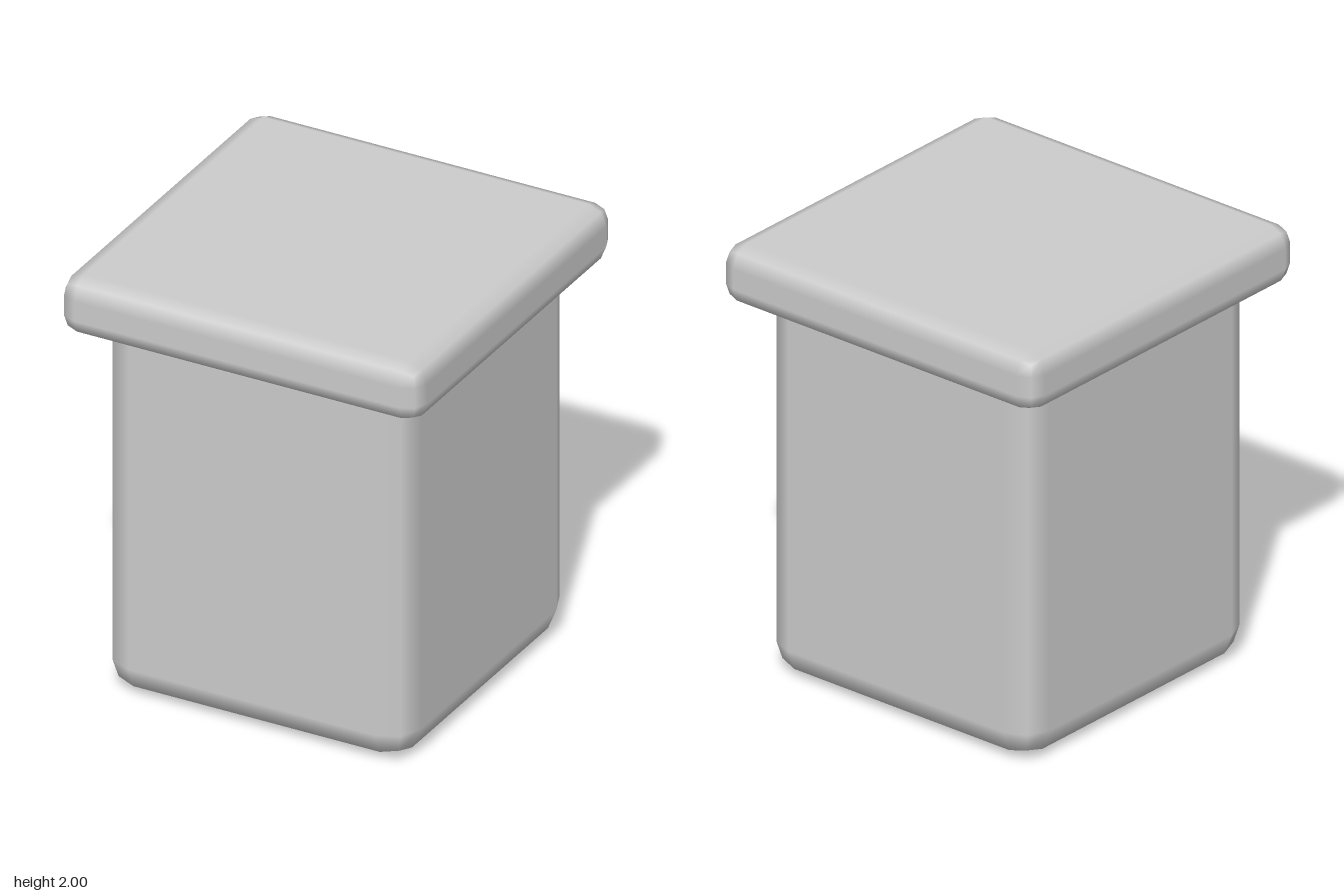
import * as THREE from 'three';
import { RoundedBoxGeometry } from 'three/addons/geometries/RoundedBoxGeometry.js';

export function createModel() {
  const group = new THREE.Group();
  group.name = 'cappedPost';

  const stone = new THREE.MeshStandardMaterial({ color: 0xcccccc });
  stone.name = 'pale grey';

  // Square block with two-step rounded edges, placed by its bottom and top heights
  const block = (name, width, bottom, top, radius) => {
    const mesh = new THREE.Mesh(new RoundedBoxGeometry(width, top - bottom, width, 1, radius), stone);
    mesh.name = name;
    mesh.position.y = (bottom + top) / 2;
    group.add(mesh);
  };

  // The body's rounded top reaches up inside the overhanging cap
  block('body', 1.455, 0, 1.82, 0.14);
  block('cap', 1.724, 1.73, 2, 0.088);

  return group;
}
